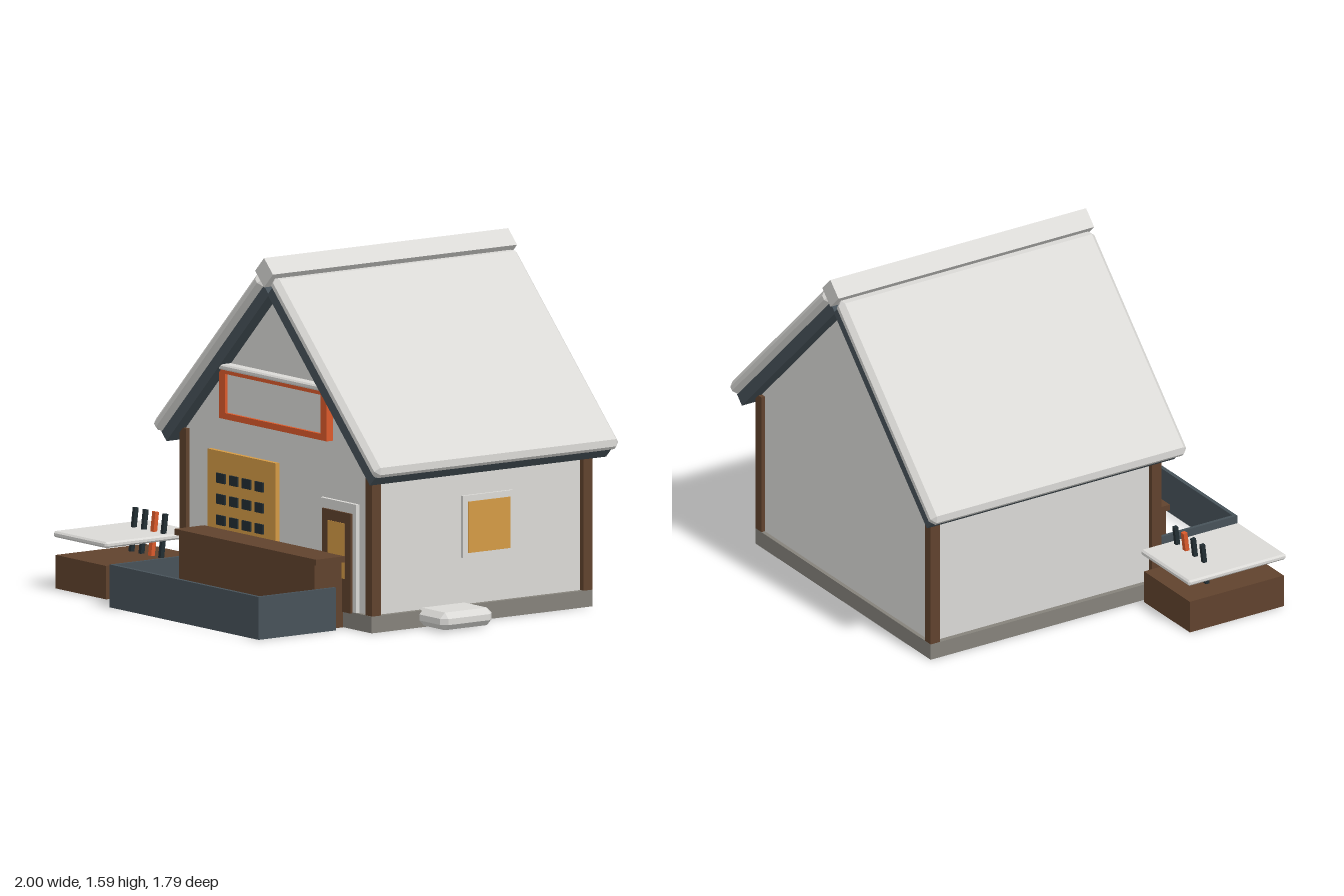
import * as THREE from 'three';
import { ConvexGeometry } from 'three/addons/geometries/ConvexGeometry.js';

const mat = (name, color) => Object.assign(new THREE.MeshStandardMaterial({ color }), { name });

export function createModel() {
  const white = mat('offWhite', 0xdad9d6);
  const brown = mat('darkWood', 0x60422d);
  const slate = mat('slate', 0x475259);
  const stone = mat('stone', 0x85827b);
  const amber = mat('amber', 0xd49a45);
  const orange = mat('orange', 0xdb5a2b);
  const ink = mat('ink', 0x222d32);

  const model = new THREE.Group();
  model.name = 'shopHouse';

  const add = (name, geometry, material) => {
    const mesh = new THREE.Mesh(geometry, material);
    mesh.name = name;
    model.add(mesh);
    return mesh;
  };

  // Plain box given by its limits on each axis
  const box = (name, material, [x0, x1], [y0, y1], [z0, z1]) => {
    const mesh = add(name, new THREE.BoxGeometry(x1 - x0, y1 - y0, z1 - z0), material);
    mesh.position.set((x0 + x1) / 2, (y0 + y1) / 2, (z0 + z1) / 2);
    return mesh;
  };

  // Box with every edge chamfered by b
  const chamferGeometry = (w, h, d, b) => {
    const points = [];
    for (const i of [-1, 1]) for (const j of [-1, 1]) for (const k of [-1, 1]) {
      const x = w / 2, y = h / 2, z = d / 2;
      points.push(
        new THREE.Vector3(i * x, j * (y - b), k * (z - b)),
        new THREE.Vector3(i * (x - b), j * y, k * (z - b)),
        new THREE.Vector3(i * (x - b), j * (y - b), k * z));
    }
    return new ConvexGeometry(points);
  };
  const chamferBox = (name, material, [x0, x1], [y0, y1], [z0, z1], b) => {
    const mesh = add(name, chamferGeometry(x1 - x0, y1 - y0, z1 - z0, b), material);
    mesh.position.set((x0 + x1) / 2, (y0 + y1) / 2, (z0 + z1) / 2);
    return mesh;
  };

  // Foundation and gabled house body
  const cx = 0.11;
  box('foundation', stone, [-0.6, 0.82], [0, 0.075], [-0.828, 0.39]);
  const gable = new THREE.Shape([
    [-0.575, 0.07], [0.795, 0.07], [0.795, 0.75], [cx, 1.435], [-0.575, 0.75],
  ].map(([x, y]) => new THREE.Vector2(x, y)));
  add('walls', new THREE.ExtrudeGeometry(gable, { depth: 1.18, bevelEnabled: false }), white)
    .position.z = -0.81;

  // Corner posts
  for (const x of [-0.6, 0.772]) for (const z of [-0.828, 0.34])
    box('cornerPost', brown, [x, x + 0.048], [0.075, 0.735], [z, z + 0.048]);

  // Roof: chamfered slab over a slate underlayer on each side, and a ridge beam
  for (const side of [-1, 1]) {
    const slab = add('roofSlab', chamferGeometry(1.1, 0.066, 1.348, 0.023), white);
    slab.position.set(cx + side * 0.432, 1.11, -0.221);
    slab.rotation.z = -side * Math.PI / 4;
    const under = add('roofUnderlayer', new THREE.BoxGeometry(1.068, 0.056, 1.304), slate);
    under.position.set(cx + side * 0.392, 1.069, -0.222);
    under.rotation.z = -side * Math.PI / 4;
  }
  const ridge = add('ridgeBeam', new THREE.BoxGeometry(0.093, 0.093, 1.348), white);
  ridge.position.set(cx, 1.528, -0.221);
  ridge.rotation.z = Math.PI / 4;

  // Blank sign with an open frame and a small ledge
  const frame = new THREE.Shape([[-0.286, 0.82], [0.507, 0.82], [0.507, 1.047], [-0.286, 1.047]]
    .map(([x, y]) => new THREE.Vector2(x, y)));
  frame.holes.push(new THREE.Path([[-0.243, 0.848], [-0.243, 1.023], [0.464, 1.023], [0.464, 0.848]]
    .map(([x, y]) => new THREE.Vector2(x, y))));
  add('signFrame', new THREE.ExtrudeGeometry(frame, { depth: 0.04, bevelEnabled: false }), orange)
    .position.z = 0.365;
  box('signPanel', white, [-0.243, 0.464], [0.848, 1.023], [0.365, 0.39]);
  chamferBox('signLedge', white, [-0.29, 0.512], [1.043, 1.068], [0.365, 0.425], 0.007);

  // Menu board with a grid of small plaques
  box('menuBoard', amber, [-0.388, 0.112], [0.3, 0.668], [0.365, 0.391]);
  for (let row = 0; row < 3; row++) for (let col = 0; col < 4; col++) {
    const x = -0.285 + col * 0.094, y = 0.36 + row * 0.094;
    box('menuPlaque', ink, [x - 0.03, x + 0.03], [y - 0.022, y + 0.022], [0.39, 0.399]);
  }

  // Door with trim and glazing
  box('doorTrim', white, [0.436, 0.703], [0.07, 0.56], [0.365, 0.388]);
  box('door', brown, [0.463, 0.676], [0.07, 0.516], [0.38, 0.398]);
  box('doorGlass', amber, [0.508, 0.63], [0.22, 0.468], [0.394, 0.401]);

  // Side window
  box('windowTrim', white, [0.79, 0.808], [0.285, 0.563], [-0.4, -0.122]);
  box('windowGlass', amber, [0.805, 0.812], [0.305, 0.535], [-0.381, -0.151]);

  // Serving counter
  box('counterBody', brown, [-0.388, 0.612], [0, 0.297], [0.392, 0.55]);
  box('counterTop', brown, [-0.409, 0.634], [0.295, 0.322], [0.395, 0.558]);

  // Low fence, open at the back and without a floor
  box('fenceFront', slate, [-0.438, 0.66], [0, 0.192], [0.877, 0.895]);
  for (const x of [-0.438, 0.644])
    box('fenceSide', slate, [x, x + 0.016], [0, 0.192], [0.467, 0.88]);

  // Side step
  chamferBox('sideStep', white, [0.78, 1], [0.006, 0.085], [-0.157, 0.127], 0.026);

  // Crate with a table top and leaning rods
  box('crate', brown, [-0.99, -0.618], [0, 0.15], [0.285, 0.78]);
  chamferBox('tableTop', white, [-1, -0.608], [0.23, 0.257], [0.273, 0.789], 0.008);
  [-0.869, -0.795, -0.722, -0.65].forEach((x, i) => {
    const w = i === 2 ? 0.024 : 0.018;
    const rod = add('rod', new THREE.BoxGeometry(w, 0.205, 0.02), i === 2 ? orange : ink);
    rod.position.set(x, 0.243, 0.441);
    rod.rotation.x = -0.12;
  });

  return model;
}
